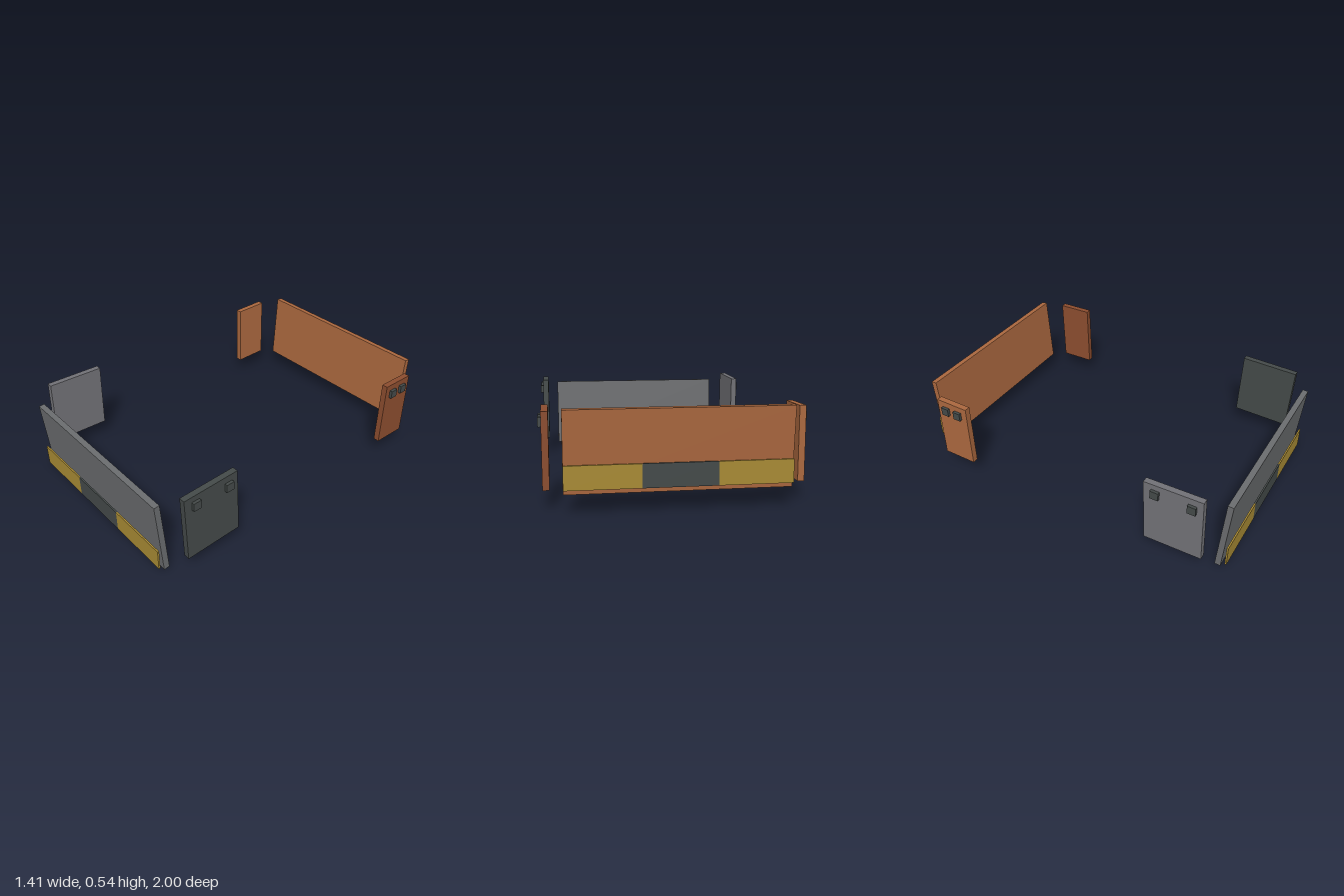
import * as THREE from 'three';

const mat = (name, color) => Object.assign(new THREE.MeshStandardMaterial({ color }), { name });

export function createModel() {
  const grey = mat('panel grey', 0x6a6c6e);
  const lightGrey = mat('plate grey', 0x727277);
  const dark = mat('charcoal', 0x444a49);
  const rust = mat('rust orange', 0xab683f);
  const brown = mat('reddish brown', 0x8c4d2f);
  const yellow = mat('stripe yellow', 0xa88a34);

  const model = new THREE.Group();
  model.name = 'bumpersAndFlaps';

  const box = (parent, name, material, size, pos, tilt = 0) => {
    const mesh = new THREE.Mesh(new THREE.BoxGeometry(...size), material);
    mesh.name = name;
    mesh.position.set(...pos);
    mesh.rotation.x = tilt;
    parent.add(mesh);
  };

  // Leaning end panel with an upright three-part stripe
  const endPanel = (name, material, height, y, z, tilt, stripeY, stripeZ) => {
    const group = new THREE.Group();
    group.name = name;
    box(group, name + 'Board', material, [1.17, height, 0.034], [0, y, z], tilt);
    for (const i of [-1, 0, 1]) {
      box(group, name + 'Stripe', i ? yellow : dark, [0.39, 0.125, 0.0098], [i * 0.39, stripeY, stripeZ]);
    }
    model.add(group);
  };
  endPanel('frontPanel', grey, 0.458, 0.23, 0.966, 0.074, 0.0925, 0.995);
  endPanel('backPanel', rust, 0.428, 0.321, -0.9685, -0.07, 0.195, -0.99);

  // Side plates, each with two square mounting blocks on the outside
  const sidePlate = (name, side, material, depth, z, tilt, spread) => {
    const group = new THREE.Group();
    group.name = name;
    box(group, name + 'Board', material, [0.036, 0.405, depth], [side * 0.668, 0.309, z], tilt);
    for (const i of [-1, 1]) {
      box(group, name + 'Block', dark, [0.03, 0.05, 0.049], [side * 0.688, 0.449, z + i * spread]);
    }
    model.add(group);
  };
  sidePlate('leftFrontPlate', 1, dark, 0.346, 0.71, 0.03, 0.107);
  sidePlate('rightFrontPlate', -1, lightGrey, 0.346, 0.71, -0.03, 0.107);
  sidePlate('leftBackPlate', 1, brown, 0.214, -0.764, -0.018, 0.044);
  sidePlate('rightBackPlate', -1, rust, 0.214, -0.764, 0.01, 0.044);

  return model;
}
